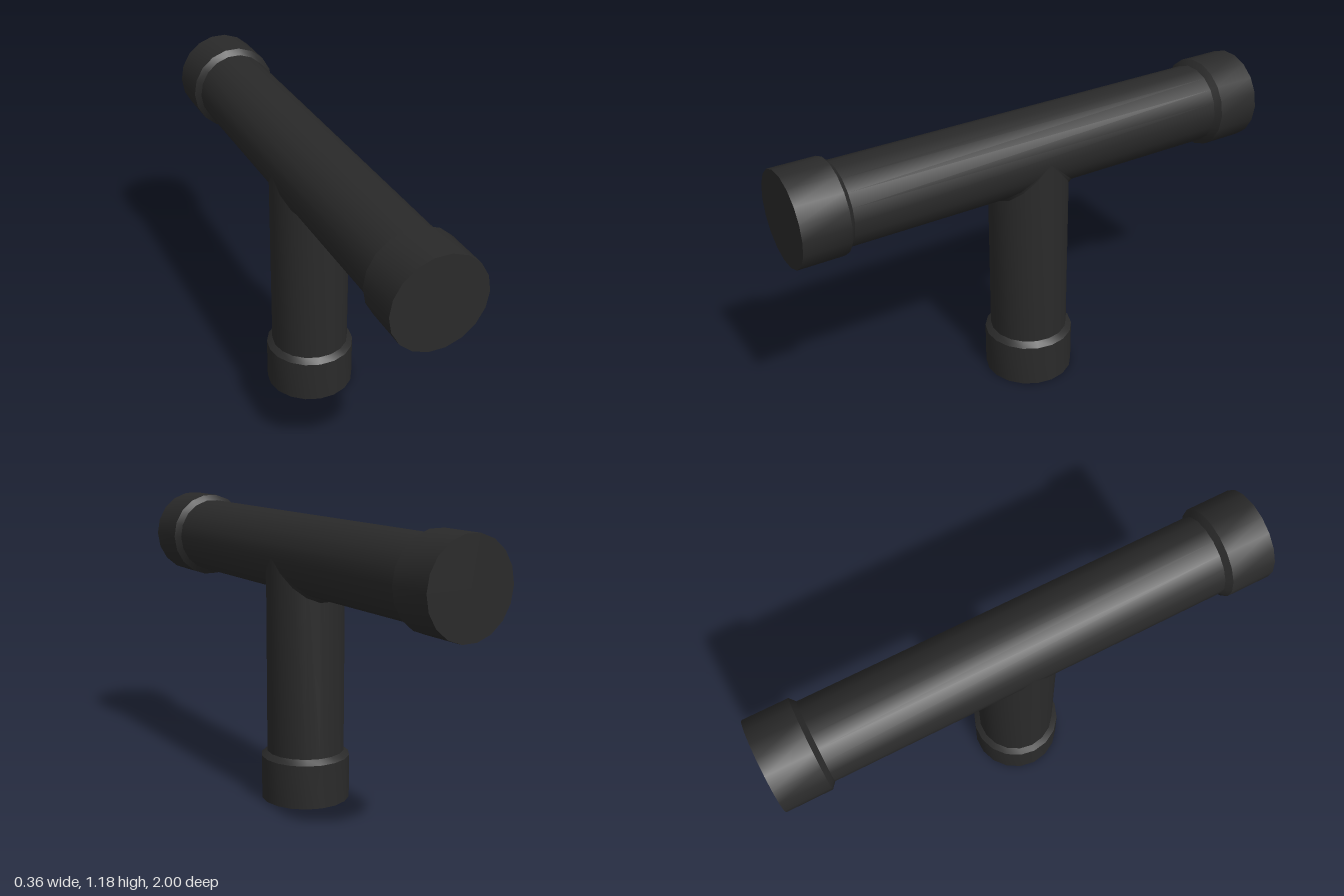
import * as THREE from 'three';
import { toCreasedNormals } from 'three/addons/utils/BufferGeometryUtils.js';

const SIDES = 18;
const PIPE_R = 0.158, COLLAR_R = 0.181;
const AXIS_Y = 1;
const COLLAR_H = 0.18, CHAMFER_END = 0.2;

// Turned solid from [radius, height] pairs, with a vertex on the +x axis
function turned(profile) {
  const pts = profile.map(([r, h]) => new THREE.Vector2(r, h));
  return toCreasedNormals(new THREE.LatheGeometry(pts, SIDES, Math.PI / 2), 0.6);
}

// Narrow weld easing the corner where the two equal pipes meet
function weldGeometry(width) {
  const pos = [], index = [], n = SIDES / 2;
  for (let i = 0; i <= n; i++) {
    const t = (i / n) * Math.PI, s = Math.sin(t);
    const x = PIPE_R * Math.cos(t), z = PIPE_R * s, y = AXIS_Y - z, d = width * s;
    pos.push(x, y - d, z, x, y, z + d);
    if (i < n) {
      const a = i * 2;
      index.push(a, a + 1, a + 2, a + 1, a + 3, a + 2);
    }
  }
  const geo = new THREE.BufferGeometry();
  geo.setAttribute('position', new THREE.Float32BufferAttribute(pos, 3));
  geo.setIndex(index);
  geo.computeVertexNormals();
  return geo;
}

export function createModel() {
  const group = new THREE.Group();
  group.name = 'teePipe';
  const material = new THREE.MeshStandardMaterial({ color: 0x2a2a2a });
  const add = (name, geometry) => {
    const mesh = new THREE.Mesh(geometry, material);
    mesh.name = name;
    group.add(mesh);
    return mesh;
  };

  // Closed collar with a chamfered shoulder, from its end face inwards
  const collar = [[0, 0], [COLLAR_R, 0], [COLLAR_R, COLLAR_H], [PIPE_R, CHAMFER_END]];

  // Upright branch, ending inside the crossing pipe
  add('branchPipe', turned([...collar, [PIPE_R, AXIS_Y]]));

  // Straight run along z, with a collar at each end
  const farCollar = collar.map(([r, h]) => [r, 2 - h]).reverse();
  const run = add('runPipe', turned([...collar, ...farCollar]).translate(0, -1, 0));
  run.rotation.x = Math.PI / 2;
  run.position.y = AXIS_Y;

  // Welds at the front and back of the branch
  const weld = weldGeometry(0.014);
  add('frontWeld', weld);
  add('backWeld', weld).rotation.y = Math.PI;

  return group;
}
